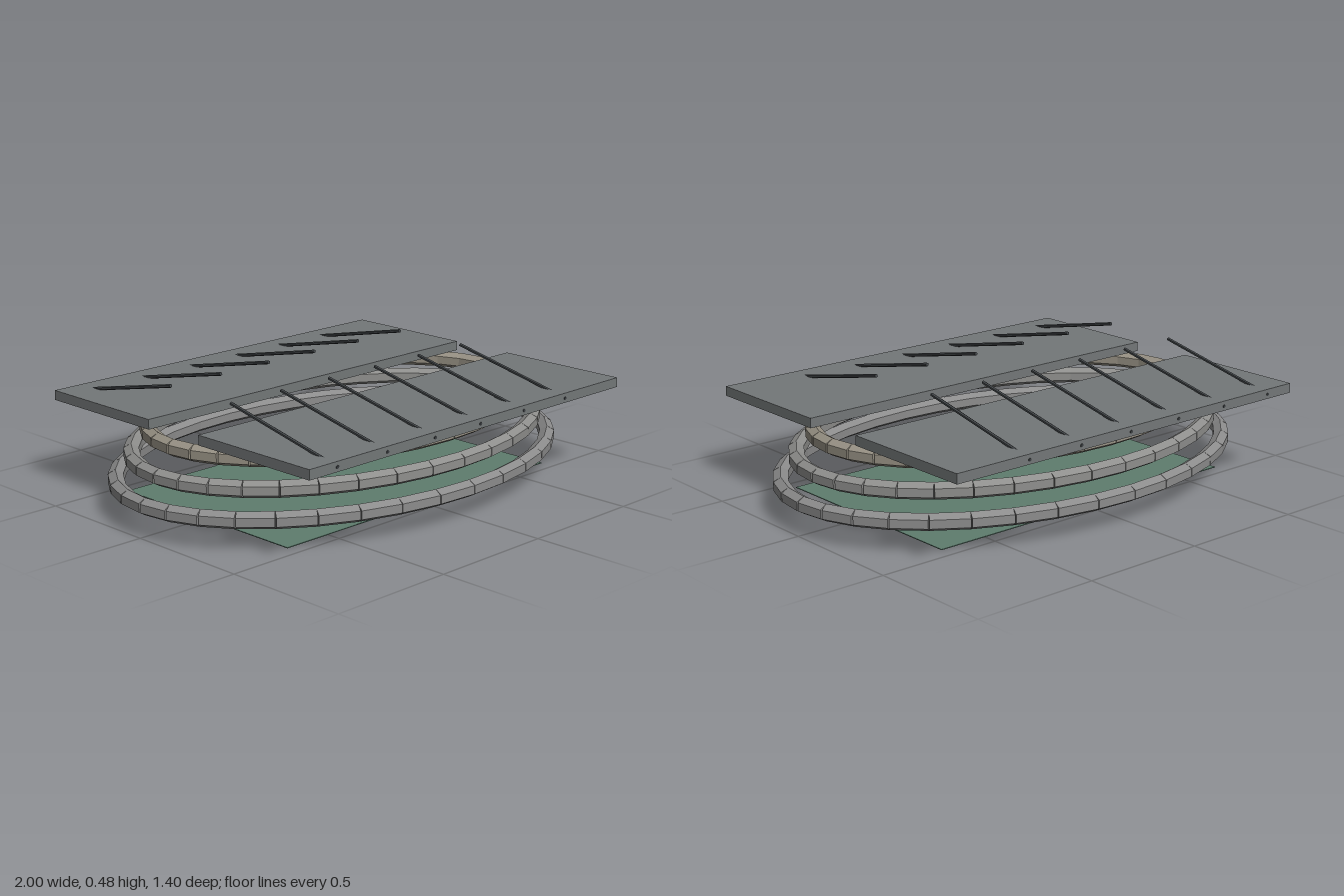
import * as THREE from 'three';

const UP = new THREE.Vector3(0, 1, 0);
const mat = (color) => new THREE.MeshStandardMaterial({ color, flatShading: true });

function add(parent, name, geometry, material, x, y, z) {
  const mesh = new THREE.Mesh(geometry, material);
  mesh.name = name;
  mesh.position.set(x, y, z);
  parent.add(mesh);
  return mesh;
}

// Elliptical ring made of 36 straight six-sided blocks, one edge pointing up
function blockRing(name, a, b, y, color) {
  const ring = new THREE.Group();
  ring.name = name;
  const material = mat(color);
  const count = 36;
  const point = (i) => {
    const t = (i / count) * Math.PI * 2;
    return new THREE.Vector3(a * Math.cos(t), y, b * Math.sin(t));
  };
  for (let i = 0; i < count; i++) {
    const p = point(i), q = point(i + 1);
    const dir = q.clone().sub(p);
    const length = dir.length();
    dir.normalize();
    const mid = p.add(q).multiplyScalar(0.5);
    const block = add(ring, 'ringBlock', new THREE.CylinderGeometry(0.033, 0.033, length, 6),
      material, mid.x, mid.y, mid.z);
    const side = new THREE.Vector3().crossVectors(dir, UP);
    block.quaternion.setFromRotationMatrix(new THREE.Matrix4().makeBasis(side, dir, UP));
  }
  return ring;
}

export function createModel() {
  const model = new THREE.Group();
  model.name = 'stadium';

  // Playing field
  add(model, 'field', new THREE.BoxGeometry(1.4, 0.003, 0.89), mat(0x5e7d6e), 0, 0.0015, 0);

  // Three stepped rings, each smaller and higher
  model.add(
    blockRing('lowerRing', 0.971, 0.671, 0.112, 0x8c8c8c),
    blockRing('middleRing', 0.905, 0.62, 0.207, 0x8f8f8d),
    blockRing('upperRing', 0.837, 0.568, 0.302, 0x979184),
  );

  // Roof slabs with rows of slanted struts, mirrored front to back
  const roofMat = mat(0x737778), strutMat = mat(0x43474a);
  for (const s of [1, -1]) {
    const roof = new THREE.Group();
    roof.name = s > 0 ? 'frontRoof' : 'backRoof';
    add(roof, 'roofSlab', new THREE.BoxGeometry(1.672, 0.038, 0.562), roofMat, 0, 0.359, s * 0.418);
    const low = new THREE.Vector3(0, 0.357, s * 0.701);
    const high = new THREE.Vector3(0, 0.473, s * 0.165);
    const dir = high.clone().sub(low);
    const mid = low.clone().add(high).multiplyScalar(0.5);
    const geometry = new THREE.CylinderGeometry(0.007, 0.007, dir.length(), 6);
    for (let i = 0; i < 6; i++) {
      const strut = add(roof, 'strut', geometry, strutMat, -0.705 + i * 0.2435, mid.y, mid.z);
      strut.quaternion.setFromUnitVectors(UP, dir.clone().normalize());
    }
    model.add(roof);
  }
  return model;
}
